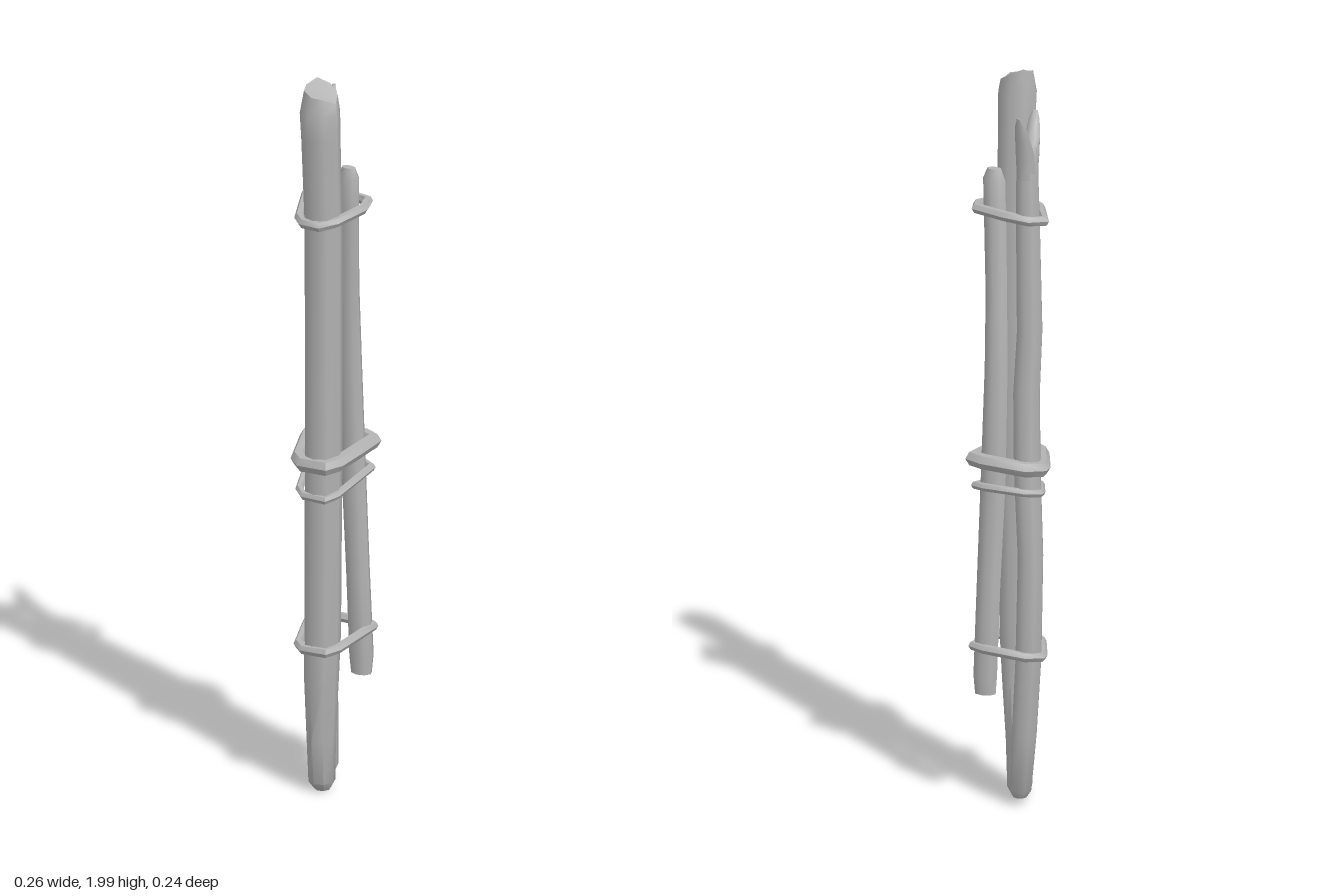
import * as THREE from 'three';
import { toCreasedNormals } from 'three/addons/utils/BufferGeometryUtils.js';

const V = (x, y, z) => new THREE.Vector3(x, y, z);

// Skin a list of rings; closed loops wrap round, open ones get end caps.
function skin(rings, closed) {
  const n = rings[0].length, m = rings.length;
  const pos = [], index = [];
  rings.forEach(r => r.forEach(p => pos.push(p.x, p.y, p.z)));
  for (let r = 0; r < (closed ? m : m - 1); r++) {
    const s = ((r + 1) % m) * n;
    for (let i = 0; i < n; i++) {
      const j = (i + 1) % n;
      const a = r * n + i, b = r * n + j, c = s + i, d = s + j;
      index.push(a, c, b, b, c, d);
    }
  }
  if (!closed) {
    for (const r of [0, m - 1]) {
      const mid = V(0, 0, 0);
      rings[r].forEach(p => mid.addScaledVector(p, 1 / n));
      const k = pos.length / 3;
      pos.push(mid.x, mid.y, mid.z);
      for (let i = 0; i < n; i++) {
        const a = r * n + i, b = r * n + (i + 1) % n;
        if (r) index.push(k, b, a);
        else index.push(k, a, b);
      }
    }
  }
  const g = new THREE.BufferGeometry();
  g.setAttribute('position', new THREE.Float32BufferAttribute(pos, 3));
  g.setIndex(index);
  return toCreasedNormals(g, 0.9);
}

// Stick from rows of [y, centre x, centre z, radius x, radius z]; jag offsets the top rim.
function stick(rows, jag = [0]) {
  const sides = 8;
  return skin(rows.map(([y, cx, cz, rx, rz], r) =>
    Array.from({ length: sides }, (_, i) => {
      const a = (i / sides) * Math.PI * 2;
      const dy = r === rows.length - 1 ? jag[i % jag.length] : 0;
      return V(cx + rx * Math.cos(a), y + dy, cz + rz * Math.sin(a));
    })));
}

// Tilted cord tied round the bundle through [x, z] corners.
function cord(loop, y, slopeX, slopeZ, radius) {
  const pts = loop.map(([x, z]) => V(x, y + slopeX * x + slopeZ * z, z));
  const n = pts.length, up = V(0, 1, 0);
  return skin(pts.map((p, i) => {
    const before = p.clone().sub(pts[(i + n - 1) % n]).normalize();
    const after = pts[(i + 1) % n].clone().sub(p).normalize();
    const side = before.add(after).cross(up).normalize();
    return Array.from({ length: 6 }, (_, k) => {
      const a = (k / 6) * Math.PI * 2;
      return p.clone().addScaledVector(side, radius * Math.cos(a)).addScaledVector(up, radius * Math.sin(a));
    });
  }), true);
}

export function createModel() {
  const group = new THREE.Group();
  const grey = new THREE.MeshStandardMaterial({ color: 0xb4b4b4 });
  grey.name = 'plain grey';
  const add = (name, geometry) => {
    const mesh = new THREE.Mesh(geometry, grey);
    mesh.name = name;
    group.add(mesh);
  };

  // Thick stick with a broken, jagged top
  add('thickStick', stick([
    [0.006, -0.022, 0.005, 0.022, 0.02],
    [0.03, -0.027, 0.006, 0.038, 0.034],
    [0.16, -0.038, 0.012, 0.044, 0.036],
    [0.32, -0.048, 0.02, 0.049, 0.044],
    [0.45, -0.05, 0.025, 0.05, 0.048],
    [1.0, -0.052, 0.03, 0.05, 0.05],
    [1.6, -0.06, 0.035, 0.049, 0.051],
    [1.85, -0.075, 0.037, 0.051, 0.053],
    [1.92, -0.079, 0.037, 0.052, 0.055],
    [1.975, -0.075, 0.037, 0.042, 0.047],
  ], [0.012, -0.01, -0.025, -0.01, -0.005, 0.005, 0.01, 0.025]));

  // Forked stick: bent trunk and two pointed prongs
  add('forkedStick', stick([
    [0.025, 0.05, -0.03, 0.018, 0.018],
    [0.045, 0.05, -0.032, 0.031, 0.03],
    [0.2, 0.063, -0.048, 0.037, 0.034],
    [0.42, 0.075, -0.066, 0.037, 0.036],
    [0.7, 0.073, -0.071, 0.037, 0.035],
    [0.95, 0.07, -0.06, 0.04, 0.036],
    [1.15, 0.063, -0.055, 0.038, 0.037],
    [1.32, 0.061, -0.063, 0.035, 0.036],
    [1.6, 0.054, -0.055, 0.032, 0.034],
    [1.74, 0.056, -0.054, 0.033, 0.03],
    [1.8, 0.052, -0.053, 0.034, 0.027],
    [1.82, 0.046, -0.053, 0.022, 0.02],
  ]));
  add('leftProng', stick([
    [1.74, 0.06, -0.054, 0.029, 0.026],
    [1.8, 0.069, -0.054, 0.027, 0.026],
    [1.85, 0.087, -0.055, 0.017, 0.022],
    [1.89, 0.102, -0.056, 0.011, 0.017],
    [1.92, 0.115, -0.056, 0.003, 0.005],
  ]));
  add('rightProng', stick([
    [1.74, 0.05, -0.054, 0.027, 0.026],
    [1.8, 0.032, -0.052, 0.026, 0.025],
    [1.84, 0.014, -0.05, 0.019, 0.021],
    [1.88, -0.004, -0.046, 0.014, 0.016],
    [1.903, -0.014, -0.044, 0.006, 0.008],
  ]));

  // Thin stick in front
  add('thinStick', stick([
    [0.31, 0.083, 0.055, 0.024, 0.03],
    [0.36, 0.083, 0.055, 0.03, 0.034],
    [0.6, 0.074, 0.05, 0.028, 0.034],
    [0.9, 0.07, 0.038, 0.028, 0.036],
    [1.2, 0.063, 0.033, 0.027, 0.033],
    [1.4, 0.046, 0.04, 0.025, 0.031],
    [1.6, 0.03, 0.051, 0.022, 0.032],
    [1.71, 0.023, 0.057, 0.021, 0.032],
    [1.74, 0.022, 0.057, 0.013, 0.02],
  ]));

  // Cords
  const wide = [[-0.1, 0.07], [-0.102, 0], [-0.075, -0.035], [0.055, -0.098], [0.084, -0.105],
    [0.113, -0.075], [0.112, 0.045], [0.098, 0.083], [0.02, 0.083], [-0.065, 0.083]];
  const narrow = [[-0.113, 0.06], [-0.108, 0.005], [-0.08, -0.028], [0.045, -0.098],
    [0.084, -0.07], [0.084, 0.0], [0.066, 0.088], [0.018, 0.105], [-0.075, 0.085]];
  add('topCord', cord(narrow, 1.624, 0.13, 0.07, 0.014));
  add('middleCord', cord(wide, 0.945, 0.1, 0.04, 0.021));
  add('lowerMiddleCord', cord(wide.map(([x, z]) => [x * 0.97, z * 0.95]), 0.865, 0.2, 0, 0.011));
  add('bottomCord', cord(wide, 0.427, 0.1, 0.05, 0.013));
  return group;
}
